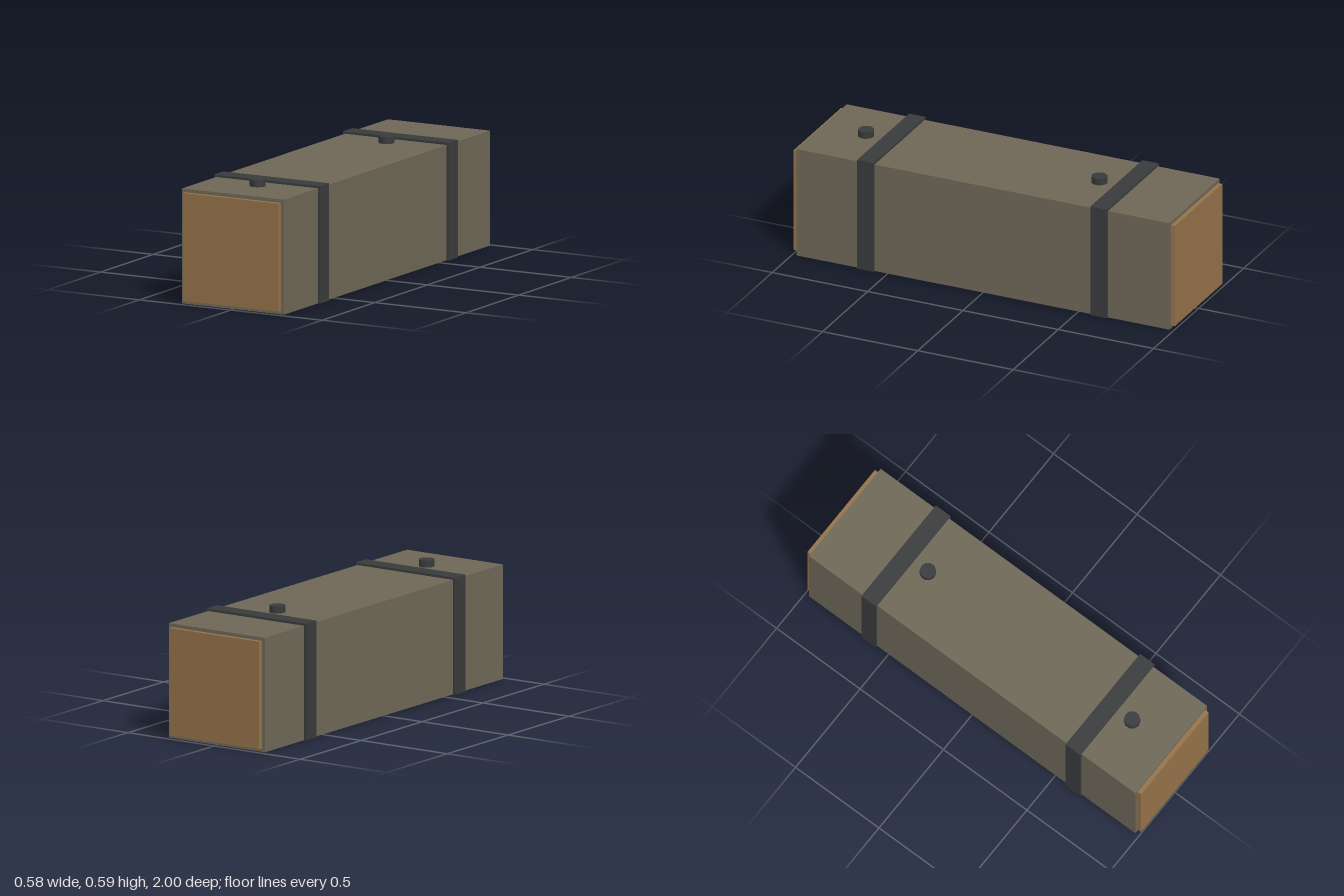
import * as THREE from 'three';

export function createModel() {
  const model = new THREE.Group();
  model.name = 'strappedCrate';

  const material = (name, color) => {
    const m = new THREE.MeshStandardMaterial({ color });
    m.name = name;
    return m;
  };
  const casing = material('grey brown casing', 0x6f6858);
  const endPanel = material('tan end panel', 0x96734a);
  const darkMetal = material('dark metal', 0x3a3b3c);

  const add = (name, geometry, mat, x, y, z) => {
    const mesh = new THREE.Mesh(geometry, mat);
    mesh.name = name;
    mesh.position.set(x, y, z);
    model.add(mesh);
    return mesh;
  };

  // Long square casing, a hair above the strap undersides
  add('casing', new THREE.BoxGeometry(0.557, 0.556, 1.956), casing, 0, 0.279, 0);

  for (const side of [1, -1]) {
    const end = side > 0 ? 'front' : 'back';

    // Inset panel standing slightly proud of each end
    add(end + 'Panel', new THREE.BoxGeometry(0.524, 0.522, 0.03), endPanel, 0, 0.279, side * 0.985);

    // Strap wrapped around the casing
    add(end + 'Strap', new THREE.BoxGeometry(0.578, 0.568, 0.087), darkMetal, 0, 0.284, side * 0.612);

    // Ten-sided stud on the top, just ahead of each strap
    const stud = new THREE.CylinderGeometry(0.039, 0.039, 0.04, 10);
    add(end + 'Stud', stud, darkMetal, 0, 0.57, side * 0.612 + 0.132);
  }

  return model;
}
